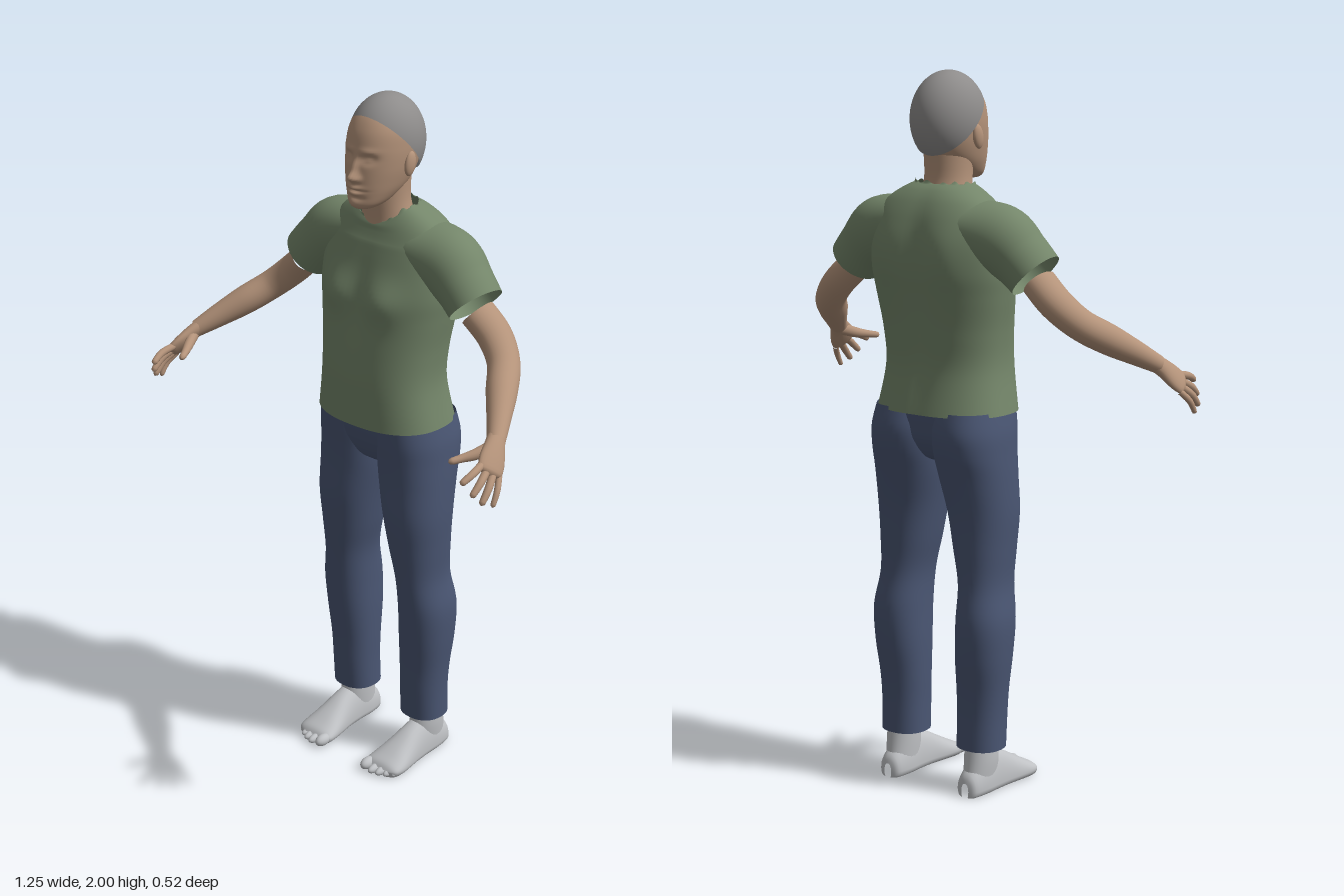
import * as THREE from 'three';

const mat = (name, color, side = THREE.FrontSide) => {
  const m = new THREE.MeshStandardMaterial({ color, side });
  m.name = name;
  return m;
};

// closed rings of points joined into a smooth skin
function skin(rings) {
  const n = rings[0].length, pos = [], idx = [];
  rings.forEach(r => r.forEach(p => pos.push(p.x, p.y, p.z)));
  for (let i = 0; i < rings.length - 1; i++) {
    for (let j = 0; j < n; j++) {
      const a = i * n + j, b = i * n + (j + 1) % n;
      idx.push(a, b, b + n, a, b + n, a + n);
    }
  }
  const g = new THREE.BufferGeometry();
  g.setAttribute('position', new THREE.Float32BufferAttribute(pos, 3));
  g.setIndex(idx);
  g.computeVertexNormals();
  return g;
}

// smooth interpolation through the rows of a table, t from 0 to 1
function sample(rows, t) {
  const f = t * (rows.length - 1), i = Math.min(Math.floor(f), rows.length - 2), s = f - i;
  const row = k => rows[Math.max(0, Math.min(rows.length - 1, k))];
  return rows[i].map((p1, c) => {
    const p0 = row(i - 1)[c], p2 = row(i + 1)[c], p3 = row(i + 2)[c];
    return p1 + 0.5 * s * (p2 - p0 + s * (2 * p0 - 5 * p1 + 4 * p2 - p3 + s * (3 * (p1 - p2) + p3 - p0)));
  });
}

const spow = (v, e) => Math.sign(v) * Math.abs(v) ** e;

// upright form from rows of [y, centre x, half width, front z, back z]
function upright(rows, { n = 40, segs = 48, e = 2, deform = null } = {}) {
  const rings = [];
  for (let i = 0; i <= n; i++) {
    const [y, cx, rx, zf, zb] = sample(rows, i / n), ring = [];
    for (let j = 0; j < segs; j++) {
      const a = j / segs * Math.PI * 2;
      const p = new THREE.Vector3(cx + rx * spow(Math.sin(a), 2 / e), y,
        (zf + zb) / 2 + (zf - zb) / 2 * spow(Math.cos(a), 2 / e));
      if (deform) deform(p, a, i / n);
      ring.push(p);
    }
    rings.push(ring);
  }
  return skin(rings);
}

// limb from rows of [x, y, z, radius along ref, radius across]
function limb(rows, ref, { n = 16, segs = 20, round = 0 } = {}) {
  const rings = [], at = t => new THREE.Vector3(...sample(rows, t).slice(0, 3));
  for (let i = 0; i <= n; i++) {
    const t = i / n, [x, y, z, ra, rb] = sample(rows, t), ring = [];
    const dir = at(Math.min(1, t + 0.01)).sub(at(Math.max(0, t - 0.01))).normalize();
    const v = new THREE.Vector3(...ref).addScaledVector(dir, -dir.dot(new THREE.Vector3(...ref))).normalize();
    const u = dir.clone().cross(v);
    const k = t > 1 - round ? Math.sqrt(Math.max(0.0001, 1 - ((t - 1 + round) / round) ** 2)) : 1;
    for (let j = 0; j < segs; j++) {
      const a = j / segs * Math.PI * 2;
      ring.push(new THREE.Vector3(x, y, z).addScaledVector(u, k * rb * Math.sin(a)).addScaledVector(v, k * ra * Math.cos(a)));
    }
    rings.push(ring);
  }
  return skin(rings);
}

function ball(x, y, z, rx, ry, rz, tilt = 0) {
  return new THREE.SphereGeometry(1, 20, 14).scale(rx, ry, rz).rotateX(tilt).translate(x, y, z);
}

function mirrored(geo) {
  const g = geo.clone().scale(-1, 1, 1), ix = g.index;
  for (let i = 0; i < ix.count; i += 3) {
    const b = ix.getX(i + 1);
    ix.setX(i + 1, ix.getX(i + 2));
    ix.setX(i + 2, b);
  }
  return g;
}

export function createModel() {
  const root = new THREE.Group();
  root.name = 'standingPerson';
  const skinTone = mat('skin', 0xb4937a);
  const shirt = mat('shirtGreen', 0x74866a, THREE.DoubleSide);
  const jeans = mat('trouserBlue', 0x4a5673, THREE.DoubleSide);
  const hair = mat('hairGrey', 0x8e8c8b, THREE.DoubleSide);
  const pale = mat('footGrey', 0xbfc1c4);

  const add = (name, geo, m) => {
    const mesh = new THREE.Mesh(geo, m);
    mesh.name = name;
    root.add(mesh);
  };
  const pair = (name, geo, m) => {
    add(name + 'Left', geo, m);
    add(name + 'Right', mirrored(geo), m);
  };
  const bump = (p, x, y, sx, sy) => Math.exp(-(((Math.abs(p.x) - x) / sx) ** 2) - ((p.y - y) / sy) ** 2);

  // head with a modelled face: brow, eyes, nose, lips, chin
  add('head', upright([
    [1.703, 0, 0.004, 0.01, 0.0], [1.708, 0, 0.03, 0.026, -0.04], [1.722, 0, 0.05, 0.033, -0.08],
    [1.75, 0, 0.067, 0.034, -0.13], [1.78, 0, 0.078, 0.034, -0.165], [1.82, 0, 0.087, 0.031, -0.185],
    [1.87, 0, 0.091, 0.025, -0.195], [1.92, 0, 0.086, 0.01, -0.19], [1.96, 0, 0.062, -0.02, -0.165],
    [1.985, 0, 0.02, -0.07, -0.11],
  ], {
    n: 90, segs: 120, e: 2.15, deform: (p, a) => {
      if (Math.cos(a) < 0) return;
      p.z += Math.min(1, Math.cos(a) * 3) * (
        0.021 * bump(p, 0, 1.797, 0.013, 0.014) + 0.012 * bump(p, 0, 1.82, 0.009, 0.024)
        + 0.007 * bump(p, 0.014, 1.793, 0.008, 0.008)
        - 0.013 * bump(p, 0.034, 1.847, 0.02, 0.012) + 0.007 * bump(p, 0.035, 1.845, 0.012, 0.007)
        + 0.004 * bump(p, 0.034, 1.868, 0.024, 0.008)
        + 0.009 * bump(p, 0, 1.768, 0.022, 0.007) + 0.008 * bump(p, 0, 1.752, 0.018, 0.006)
        - 0.006 * bump(p, 0, 1.76, 0.026, 0.003) - 0.004 * bump(p, 0, 1.739, 0.025, 0.006)
        + 0.005 * bump(p, 0, 1.722, 0.022, 0.012));
    },
  }), skinTone);
  pair('ear', ball(0.092, 1.825, -0.085, 0.011, 0.034, 0.019, -0.2), skinTone);
  add('neck', upright([
    [1.62, 0, 0.085, -0.035, -0.18], [1.67, 0, 0.073, -0.035, -0.168], [1.72, 0, 0.066, -0.03, -0.16],
    [1.79, 0, 0.068, -0.02, -0.165],
  ], { n: 12 }), skinTone);
  add('hairCap', new THREE.SphereGeometry(1, 56, 28, 0, Math.PI * 2, 0, Math.PI * 0.52)
    .rotateX(-0.76).scale(0.098, 0.13, 0.115).translate(0, 1.87, -0.095), hair);

  // shirt body: chest, shoulder blades, spine groove, dipped ragged collar
  add('shirtBody', upright([
    [1.08, 0, 0.202, 0.05, -0.25], [1.2, 0, 0.182, 0.052, -0.23], [1.3, 0, 0.186, 0.044, -0.236],
    [1.4, 0, 0.202, 0.03, -0.248], [1.47, 0, 0.212, 0.02, -0.255], [1.55, 0, 0.21, -0.002, -0.252],
    [1.61, 0, 0.195, -0.02, -0.238], [1.655, 0, 0.163, -0.03, -0.218], [1.685, 0, 0.12, -0.035, -0.195],
    [1.702, 0, 0.085, -0.04, -0.172],
  ], {
    n: 60, segs: 96, e: 2.4, deform: (p, a, t) => {
      const f = Math.cos(a);
      if (f > 0) p.z += f * (0.02 * bump(p, 0.085, 1.45, 0.06, 0.055) - 0.006 * bump(p, 0, 1.42, 0.03, 0.12));
      else p.z += -f * (0.012 * bump(p, 0, 1.38, 0.035, 0.22) - 0.012 * bump(p, 0.1, 1.52, 0.06, 0.09));
      if (p.y > 1.6) p.y -= (p.y - 1.6) * 0.45 * Math.max(0, f) ** 2;
      if (t > 0.985) p.y += 0.005 * Math.sin(a * 13) + 0.003 * Math.sin(a * 7);
    },
  }), shirt);
  pair('sleeve', limb([
    [0.11, 1.585, -0.13, 0.1, 0.08], [0.2, 1.558, -0.127, 0.092, 0.095],
    [0.26, 1.513, -0.12, 0.084, 0.082], [0.303, 1.47, -0.115, 0.082, 0.076],
  ], [0, 0, 1], { n: 20, segs: 40 }), shirt);

  // arms begin just below the sleeves
  pair('arm', limb([
    [0.312, 1.452, -0.112, 0.054, 0.044], [0.37, 1.4, -0.115, 0.052, 0.044], [0.427, 1.347, -0.085, 0.046, 0.042],
    [0.475, 1.303, -0.02, 0.043, 0.041], [0.52, 1.262, 0.045, 0.033, 0.033], [0.557, 1.227, 0.1, 0.025, 0.024],
  ], [0, 0, 1], { n: 36, segs: 28 }), skinTone);

  // hands: palm, four fingers, thumb
  const across = [0.45, -0.64, -0.64];
  pair('palm', limb([
    [0.547, 1.237, 0.085, 0.024, 0.022], [0.562, 1.217, 0.112, 0.031, 0.02],
    [0.578, 1.19, 0.142, 0.04, 0.018], [0.594, 1.163, 0.172, 0.038, 0.013],
  ], across, { n: 16, segs: 24, round: 0.15 }), skinTone);
  const tips = [[0.572, 1.163, 0.26], [0.594, 1.127, 0.243], [0.61, 1.102, 0.222], [0.62, 1.087, 0.188]];
  tips.forEach((tip, i) => {
    const k = -0.03 + i * 0.02, r = i === 3 ? 0.0085 : 0.0105;
    const base = [0.587, 1.172, 0.158].map((c, j) => c + across[j] * k);
    const mid = base.map((c, j) => (c + tip[j]) / 2 + [0.006, 0.004, 0.002][j]);
    pair('finger' + (i + 1), limb([[...base, r, r], [...mid, r, r], [...tip, r * 0.8, r * 0.8]],
      across, { n: 14, segs: 12, round: 0.15 }), skinTone);
  });
  pair('thumb', limb([
    [0.556, 1.216, 0.11, 0.018, 0.015], [0.534, 1.2, 0.155, 0.015, 0.014],
    [0.514, 1.193, 0.188, 0.011, 0.011], [0.497, 1.188, 0.22, 0.009, 0.009],
  ], [0, 1, 0], { n: 16, segs: 14, round: 0.15 }), skinTone);

  // trousers
  add('trouserSeat', upright([
    [0.93, 0, 0.02, -0.08, -0.13], [0.95, 0, 0.11, -0.03, -0.18], [1.0, 0, 0.198, 0.0, -0.215],
    [1.05, 0, 0.2, 0.015, -0.225], [1.1, 0, 0.193, 0.022, -0.23],
  ], { n: 20, e: 2.2 }), jeans);
  pair('trouserLeg', upright([
    [0.13, 0.133, 0.068, -0.058, -0.19], [0.22, 0.134, 0.068, -0.053, -0.188], [0.3, 0.136, 0.071, -0.05, -0.192],
    [0.4, 0.141, 0.076, -0.04, -0.205], [0.5, 0.144, 0.076, -0.03, -0.208], [0.6, 0.136, 0.069, -0.02, -0.192],
    [0.7, 0.128, 0.081, -0.007, -0.193], [0.8, 0.122, 0.093, 0.004, -0.2], [0.9, 0.112, 0.102, 0.004, -0.22],
    [0.97, 0.107, 0.104, 0.008, -0.24], [1.03, 0.104, 0.103, 0.015, -0.247], [1.09, 0.1, 0.095, 0.02, -0.235],
  ], { n: 60, segs: 40, e: 2.25 }), jeans);

  // feet: ankle, flat-soled foot, toes
  pair('ankle', upright([
    [0.05, 0.137, 0.04, -0.07, -0.195], [0.1, 0.138, 0.043, -0.072, -0.188], [0.17, 0.137, 0.042, -0.082, -0.18],
  ], { n: 10, segs: 28 }), pale);
  const footRows = [
    [-0.207, 0.137, 0.012, 0.04], [-0.196, 0.137, 0.033, 0.066], [-0.15, 0.137, 0.042, 0.1],
    [-0.1, 0.138, 0.043, 0.115], [-0.05, 0.138, 0.047, 0.1], [0, 0.137, 0.056, 0.073],
    [0.04, 0.136, 0.062, 0.051], [0.068, 0.134, 0.058, 0.036], [0.08, 0.132, 0.035, 0.022],
  ];
  const footRings = [];
  for (let i = 0; i <= 32; i++) {
    const [z, cx, hw, top] = sample(footRows, i / 32), ring = [];
    for (let j = 0; j < 32; j++) {
      const a = j / 32 * Math.PI * 2, s = Math.sin(a);
      const y = s > 0 ? 0.018 + (top - 0.018) * s : 0.018 * (1 - Math.min(1, -s * 1.6));
      ring.push(new THREE.Vector3(cx + hw * spow(Math.cos(a), 0.85), y, z));
    }
    footRings.push(ring);
  }
  pair('foot', skin(footRings), pale);
  [[0.091, 0.078, 0.017], [0.12, 0.079, 0.0125], [0.143, 0.073, 0.012], [0.164, 0.062, 0.0115], [0.183, 0.047, 0.011]]
    .forEach(([x, z, r], i) => pair('toe' + (i + 1), ball(x, r * 1.05, z, r, r * 1.05, 0.028), pale));

  return root;
}
